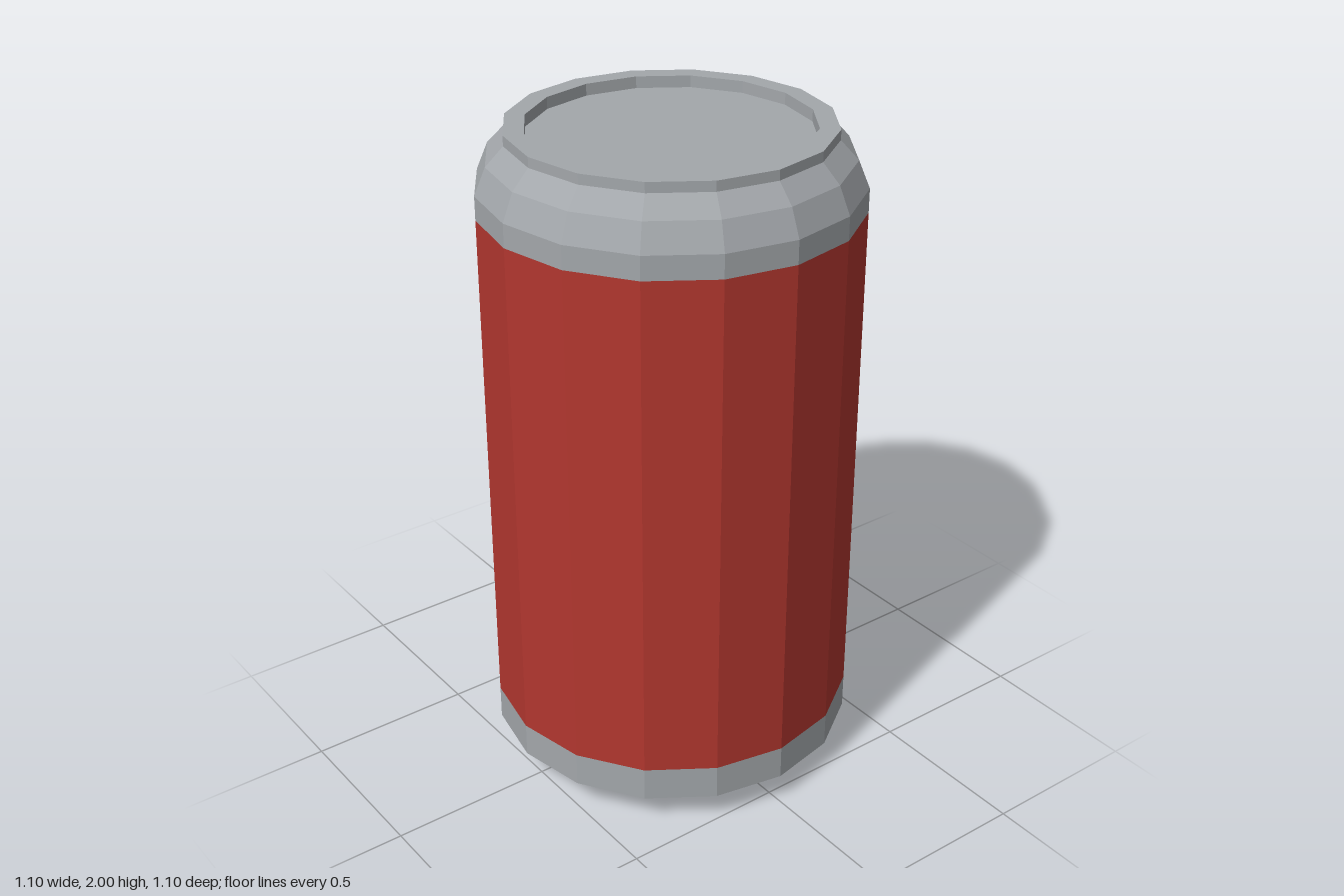
import * as THREE from 'three';

const SIDES = 16;

export function createModel() {
  const can = new THREE.Group();
  can.name = 'drinkCan';

  const metal = new THREE.MeshStandardMaterial({ color: 0xa3a7ab });
  metal.name = 'brushed grey';
  const red = new THREE.MeshStandardMaterial({ color: 0xb2372f });
  red.name = 'label red';

  // Faceted ring of surface turned from [radius, height] points
  function turned(name, profile, material) {
    const points = profile.map(([r, y]) => new THREE.Vector2(r, y));
    const geometry = new THREE.LatheGeometry(points, SIDES).toNonIndexed();
    geometry.computeVertexNormals();
    const mesh = new THREE.Mesh(geometry, material);
    mesh.name = name;
    can.add(mesh);
  }

  // Flat disc closing one end of the can
  function disc(name, radius, y, facing) {
    const geometry = new THREE.CircleGeometry(radius, SIDES);
    geometry.rotateX(-facing * Math.PI / 2);
    const mesh = new THREE.Mesh(geometry, metal);
    mesh.name = name;
    mesh.position.y = y;
    can.add(mesh);
  }

  // Base with its tapered foot
  disc('bottom', 0.425, 0, -1);
  turned('base', [[0.425, 0], [0.55, 0.095], [0.55, 0.2]], metal);

  // Painted body
  turned('label', [[0.55, 0.2], [0.55, 1.765]], red);

  // Rounded shoulder
  turned('shoulder', [[0.55, 1.765], [0.55, 1.835], [0.517, 1.915], [0.465, 1.97]], metal);

  // Raised rim around the recessed lid
  turned('rim', [[0.465, 1.97], [0.465, 2], [0.407, 2], [0.407, 1.965]], metal);
  disc('lid', 0.407, 1.965, 1);

  return can;
}
